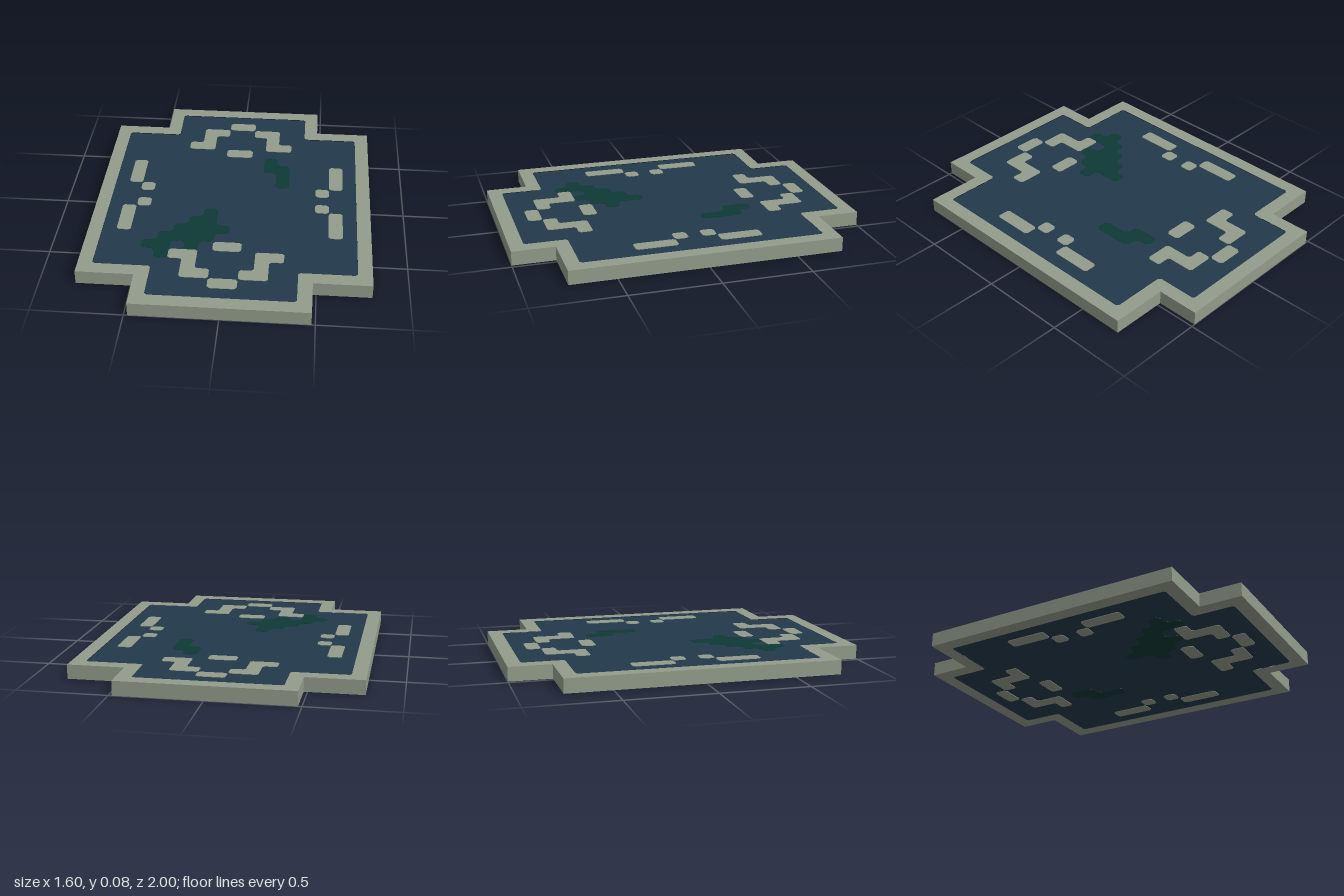
import * as THREE from 'three';

const THICK = 0.08;
const STEP = 0.0015; // tiny inset that keeps the colour layers apart

const rim = new THREE.MeshStandardMaterial({ color: 0x939c8b });
rim.name = 'paleSage';
const field = new THREE.MeshStandardMaterial({ color: 0x223a4b });
field.name = 'deepBlue';
const moss = new THREE.MeshStandardMaterial({ color: 0x0e3a36 });
moss.name = 'darkGreen';

// Cut every corner of an [x, z] outline by c and return points for a Shape
function cutCorners(pts, c) {
  if (!c) return pts.map(([x, z]) => new THREE.Vector2(x, -z));
  const out = [];
  pts.forEach(([x, z], i) => {
    const p = new THREE.Vector2(x, -z);
    for (const [nx, nz] of [pts.at(i - 1), pts[(i + 1) % pts.length]]) {
      const toward = new THREE.Vector2(nx, -nz).sub(p).setLength(c);
      out.push(p.clone().add(toward));
    }
  });
  return out;
}

// Flat slab through the thickness, inset from top and bottom
function slab(name, pts, material, cut = 0, inset = 0, hole = null) {
  const shape = new THREE.Shape(cutCorners(pts, cut));
  if (hole) shape.holes.push(new THREE.Path(hole));
  const geo = new THREE.ExtrudeGeometry(shape, { depth: THICK - 2 * inset, bevelEnabled: false });
  geo.rotateX(-Math.PI / 2);
  geo.translate(0, inset, 0);
  const mesh = new THREE.Mesh(geo, material);
  mesh.name = name;
  return mesh;
}

const rect = (x0, x1, z0, z1) => [[x0, z0], [x1, z0], [x1, z1], [x0, z1]];

// Stepped outline: wide middle (w, d) with narrower ends (nw, nd)
const stepped = (w, d, nw, nd) => [
  [-nw, -nd], [nw, -nd], [nw, -d], [w, -d], [w, d], [nw, d],
  [nw, nd], [-nw, nd], [-nw, d], [-w, d], [-w, -d], [-nw, -d],
];

export function createModel() {
  const group = new THREE.Group();
  group.name = 'rug';

  // Border and blue field
  const inner = stepped(0.72, 0.68, 0.4, 0.92);
  group.add(slab('border', stepped(0.8, 0.76, 0.48, 1), rim, 0, 0, cutCorners(inner, 0.012)));
  group.add(slab('field', inner, field, 0.012, 2 * STEP));

  // Pale motifs, mirrored to all quarters
  const arm = [
    [0.08, 0.68], [0.16, 0.68], [0.16, 0.52], [0.32, 0.52],
    [0.32, 0.6], [0.24, 0.6], [0.24, 0.76], [0.08, 0.76],
  ];
  for (const sz of [-1, 1]) {
    const end = sz > 0 ? 'front' : 'back';
    const flipZ = (pts) => pts.map(([x, z]) => [x, z * sz]);
    group.add(slab(end + 'OuterDash', flipZ(rect(-0.08, 0.08, 0.76, 0.84)), rim, 0.014));
    group.add(slab(end + 'InnerDash', flipZ(rect(-0.08, 0.08, 0.44, 0.52)), rim, 0.014));
    for (const sx of [-1, 1]) {
      const side = end + (sx > 0 ? 'Left' : 'Right');
      const flip = (pts) => pts.map(([x, z]) => [x * sx, z * sz]);
      group.add(slab(side + 'Arm', flip(arm), rim, 0.012));
      group.add(slab(side + 'Bar', flip(rect(0.56, 0.64, 0.12, 0.36)), rim, 0.012));
      group.add(slab(side + 'Dot', flip(rect(0.48, 0.56, 0.04, 0.12)), rim, 0.014));
    }
  }

  // Green patches
  group.add(slab('smallPatch', [
    [0.16, -0.44], [0.24, -0.44], [0.24, -0.36], [0.32, -0.36],
    [0.32, -0.12], [0.24, -0.12], [0.24, -0.28], [0.16, -0.28],
  ], moss, 0.02, STEP));
  group.add(slab('largePatch', [
    [-0.16, 0.12], [-0.08, 0.12], [-0.08, 0.28], [0, 0.28], [0, 0.36], [-0.08, 0.36],
    [-0.08, 0.44], [-0.16, 0.44], [-0.16, 0.52], [-0.24, 0.52], [-0.24, 0.44], [-0.32, 0.44],
    [-0.32, 0.6], [-0.4, 0.6], [-0.4, 0.52], [-0.48, 0.52], [-0.48, 0.44], [-0.4, 0.44],
    [-0.4, 0.36], [-0.32, 0.36], [-0.32, 0.28], [-0.24, 0.28], [-0.24, 0.2], [-0.16, 0.2],
  ], moss, 0.02, STEP));

  return group;
}
